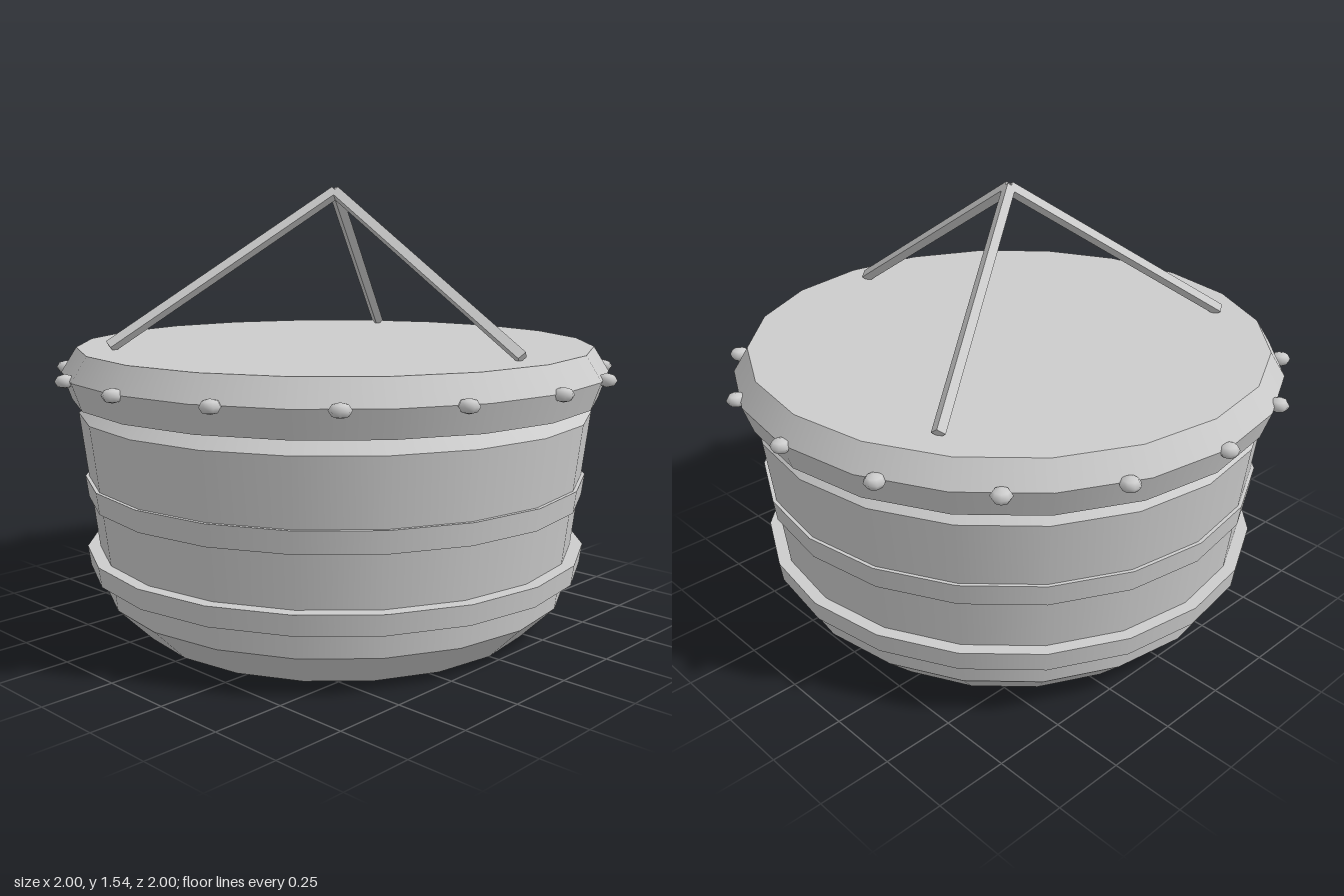
import * as THREE from 'three';

const SIDES = 20;

export function createModel() {
  const model = new THREE.Group();
  const grey = new THREE.MeshStandardMaterial({ color: 0xcccccc });
  grey.name = 'plain grey';

  const add = (parent, name, geometry) => {
    const mesh = new THREE.Mesh(geometry, grey);
    mesh.name = name;
    parent.add(mesh);
    return mesh;
  };

  // Smooth-sided ring between two [radius, height] points, sharp at its edges
  const ring = (parent, name, [r0, y0], [r1, y1]) => {
    const g = new THREE.CylinderGeometry(r1, r0, y1 - y0, SIDES, 1, true);
    add(parent, name, g.translate(0, (y0 + y1) / 2, 0));
  };

  // Flat disc facing up or down
  const disc = (parent, name, radius, y, up) => {
    const g = new THREE.CircleGeometry(radius, SIDES, Math.PI / 2);
    g.rotateX(up ? -Math.PI / 2 : Math.PI / 2);
    add(parent, name, g.translate(0, y, 0));
  };

  const solid = (name, profile) => {
    const part = new THREE.Group();
    part.name = name;
    for (let i = 1; i < profile.length; i++) ring(part, name + 'Side', profile[i - 1], profile[i]);
    disc(part, name + 'Bottom', ...profile[0], false);
    disc(part, name + 'Top', ...profile[profile.length - 1], true);
    model.add(part);
  };

  // Tub, its two hoops and the lid
  solid('tub', [[0.71, 0], [0.83, 0.12], [0.908, 0.76], [0.85, 0.815]]);
  solid('lowerHoop', [[0.883, 0.21], [0.893, 0.28]]);
  solid('upperHoop', [[0.883, 0.46], [0.893, 0.535]]);
  solid('lid', [[0.93, 0.81], [0.963, 0.905], [0.91, 0.99]]);

  // Studs around the lid
  const studs = new THREE.Group();
  studs.name = 'studs';
  const studGeometry = new THREE.SphereGeometry(0.035, 8, 4).scale(1, 0.68, 1);
  for (let i = 0; i < 16; i++) {
    const a = (i / 16) * Math.PI * 2;
    const stud = add(studs, 'stud', studGeometry);
    stud.position.set(Math.cos(a) * 0.965, 0.903, Math.sin(a) * 0.965);
    stud.rotation.y = -a;
  }
  model.add(studs);

  // Three square bars rising from the lid to a shared peak
  const peak = new THREE.Vector2(0, 1.52);
  const foot = new THREE.Vector2(0.8, 1.0);
  const run = foot.clone().sub(peak);
  const barGeometry = new THREE.CylinderGeometry(0.023, 0.023, run.length(), 4).toNonIndexed();
  barGeometry.computeVertexNormals();
  barGeometry.rotateZ(run.angle() - Math.PI / 2);
  barGeometry.translate((peak.x + foot.x) / 2, (peak.y + foot.y) / 2, 0);
  const handle = new THREE.Group();
  handle.name = 'handle';
  for (let i = 0; i < 3; i++) {
    add(handle, 'handleBar', barGeometry).rotation.y = (i * Math.PI * 2) / 3 + 0.021;
  }
  model.add(handle);

  return model;
}
